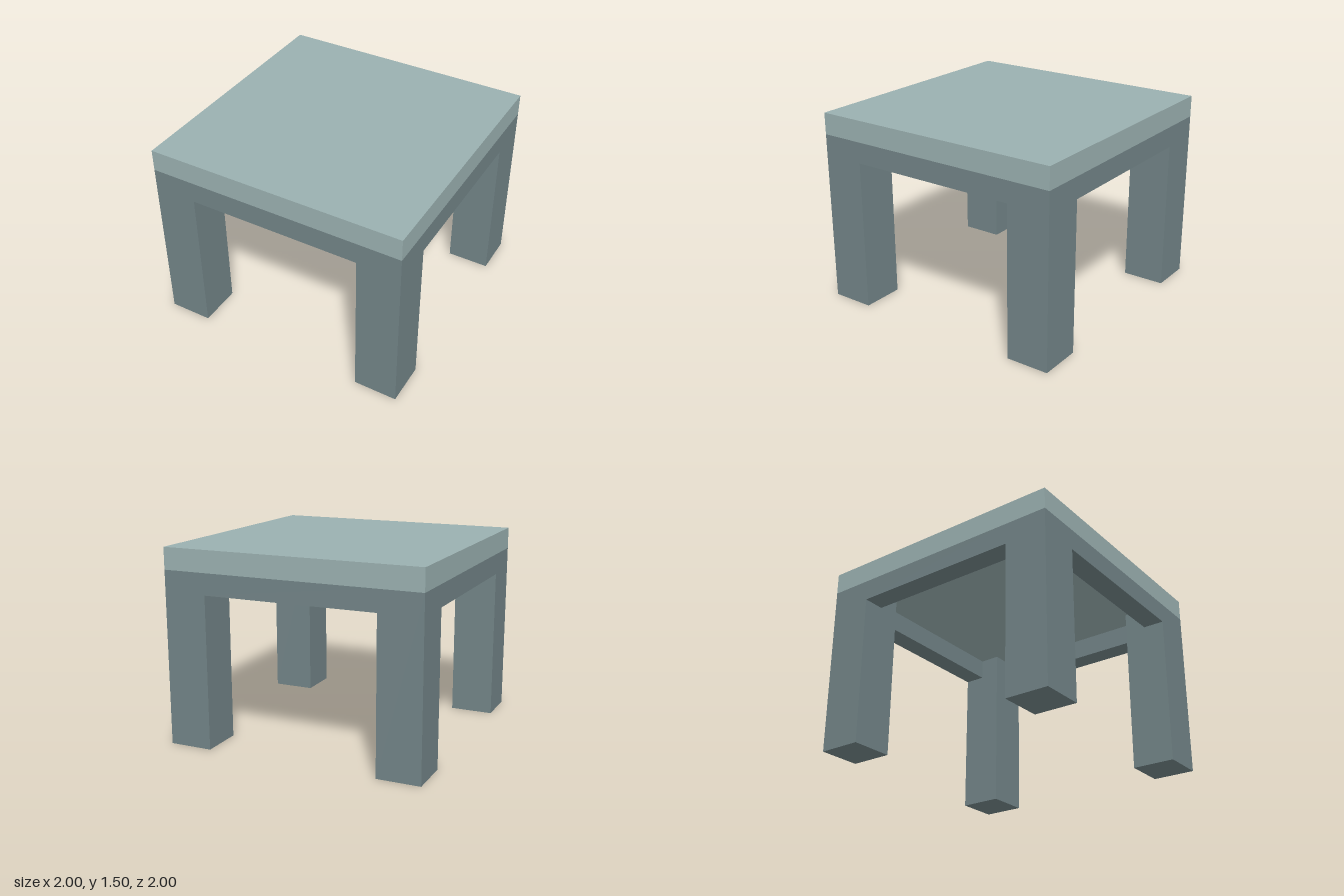
import * as THREE from 'three';

const HALF = 1;          // half the table's width
const HEIGHT = 1.5;
const TOP = 0.167;       // thickness of the tabletop
const LEG = 0.333;       // side of a square leg
const APRON_H = 0.163;
const APRON_T = 0.167;

export function createModel() {
  const table = new THREE.Group();
  table.name = 'table';
  const topMat = new THREE.MeshStandardMaterial({ color: 0x9ab0b0 });
  const frameMat = new THREE.MeshStandardMaterial({ color: 0x728487 });

  const box = (name, material, w, h, d, x, y, z) => {
    const mesh = new THREE.Mesh(new THREE.BoxGeometry(w, h, d), material);
    mesh.name = name;
    mesh.position.set(x, y, z);
    table.add(mesh);
    return mesh;
  };

  // Tabletop slab
  box('tabletop', topMat, 2 * HALF, TOP, 2 * HALF, 0, HEIGHT - TOP / 2, 0);

  // Corner legs, flush with the tabletop's edges
  const legH = HEIGHT - TOP;
  const legPos = HALF - LEG / 2;
  for (const [zName, sz] of [['front', 1], ['back', -1]]) {
    for (const [xName, sx] of [['Left', 1], ['Right', -1]]) {
      box(`${zName}${xName}Leg`, frameMat, LEG, legH, LEG, sx * legPos, legH / 2, sz * legPos);
    }
  }

  // Aprons between the legs, flush with the outside
  const span = 2 * (HALF - LEG);
  const apronY = legH - APRON_H / 2;
  const apronPos = HALF - APRON_T / 2;
  ['front', 'left', 'back', 'right'].forEach((side, i) => {
    const a = (i * Math.PI) / 2;
    const apron = box(`${side}Apron`, frameMat, span, APRON_H, APRON_T,
      Math.sin(a) * apronPos, apronY, Math.cos(a) * apronPos);
    apron.rotation.y = a;
  });

  return table;
}
